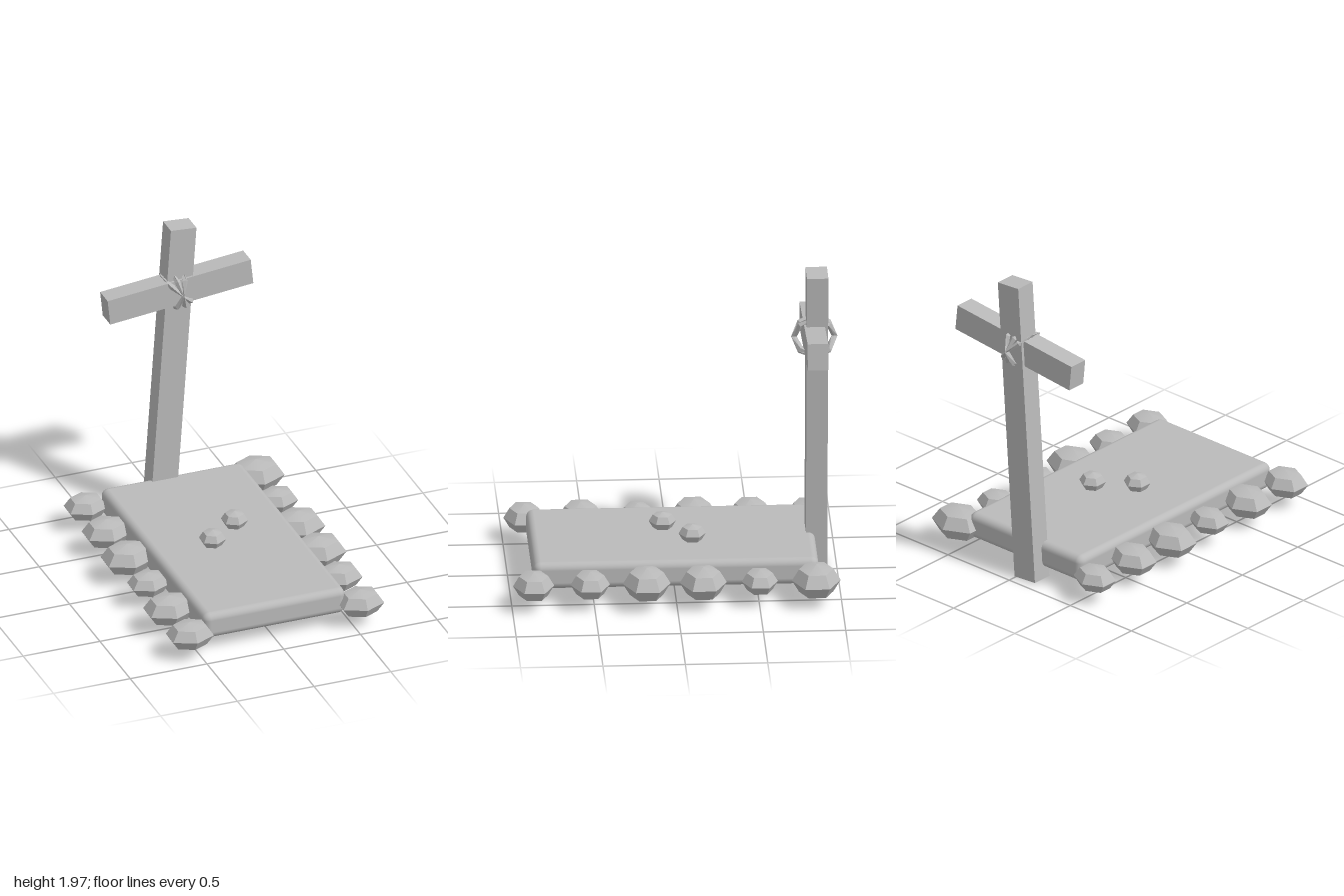
import * as THREE from 'three';
import { toCreasedNormals } from 'three/addons/utils/BufferGeometryUtils.js';
import { RoundedBoxGeometry } from 'three/addons/geometries/RoundedBoxGeometry.js';

export function createModel() {
  const model = new THREE.Group();
  model.name = 'grave';
  const stone = new THREE.MeshStandardMaterial({ color: 0xbababa });
  stone.name = 'grey stone';

  function add(name, geometry, x, y, z, tilt = 0) {
    const mesh = new THREE.Mesh(geometry, stone);
    mesh.name = name;
    mesh.position.set(x, y, z);
    mesh.rotation.z = tilt;
    model.add(mesh);
    return mesh;
  }

  // Faceted six-sided pebble with a point towards +z and -z
  function pebble(name, x, y, z, r, stretch) {
    const g = new THREE.SphereGeometry(r, 6, 4);
    g.rotateY(Math.PI / 2);
    g.scale(stretch, 0.7, 1);
    add(name, toCreasedNormals(g, 0.5), x, y, z);
  }

  // Slab with softened edges
  add('slab', new RoundedBoxGeometry(0.925, 0.17, 1.73, 3, 0.045), 0, 0.175, 0);

  // Border stones along both long sides
  const rows = { left: [0.55, [0.148, 0.11, 0.143, 0.145, 0.12, 0.125]],
    right: [-0.56, [0.115, 0.13, 0.14, 0.11, 0.135, 0.125]] };
  for (const [side, [x, radii]] of Object.entries(rows)) {
    radii.forEach((r, i) => pebble(`${side}BorderStone${i + 1}`, x, 0.157, -0.845 + i * 0.343, r, 1.22));
  }

  // Two small stones laid on the slab
  pebble('topStone1', -0.09, 0.307, 0.055, 0.083, 1);
  pebble('topStone2', 0.12, 0.307, -0.115, 0.083, 1);

  // Leaning cross
  add('post', new THREE.BoxGeometry(0.167, 1.96, 0.13), -0.0045, 0.991, -0.875, -0.07);
  add('crossbar', new THREE.BoxGeometry(0.937, 0.166, 0.125), 0.0375, 1.546, -0.858, 0.104);

  // Rope loops around the joint, pinched at the quarter points
  const loop = new THREE.TorusGeometry(0.123, 0.018, 4, 8);
  const p = loop.attributes.position;
  for (let i = 0; i < p.count; i++) {
    const a = Math.atan2(p.getY(i), p.getX(i));
    p.setZ(i, p.getZ(i) * (0.25 + 0.75 * Math.abs(Math.sin(2 * a))));
  }
  loop.rotateY(Math.PI / 2);
  const rope = toCreasedNormals(loop, 0.3);
  [-0.28, 0.28, 0.79].forEach((tilt, i) => add(`ropeLoop${i + 1}`, rope, 0.035, 1.545, -0.86, tilt));

  return model;
}
